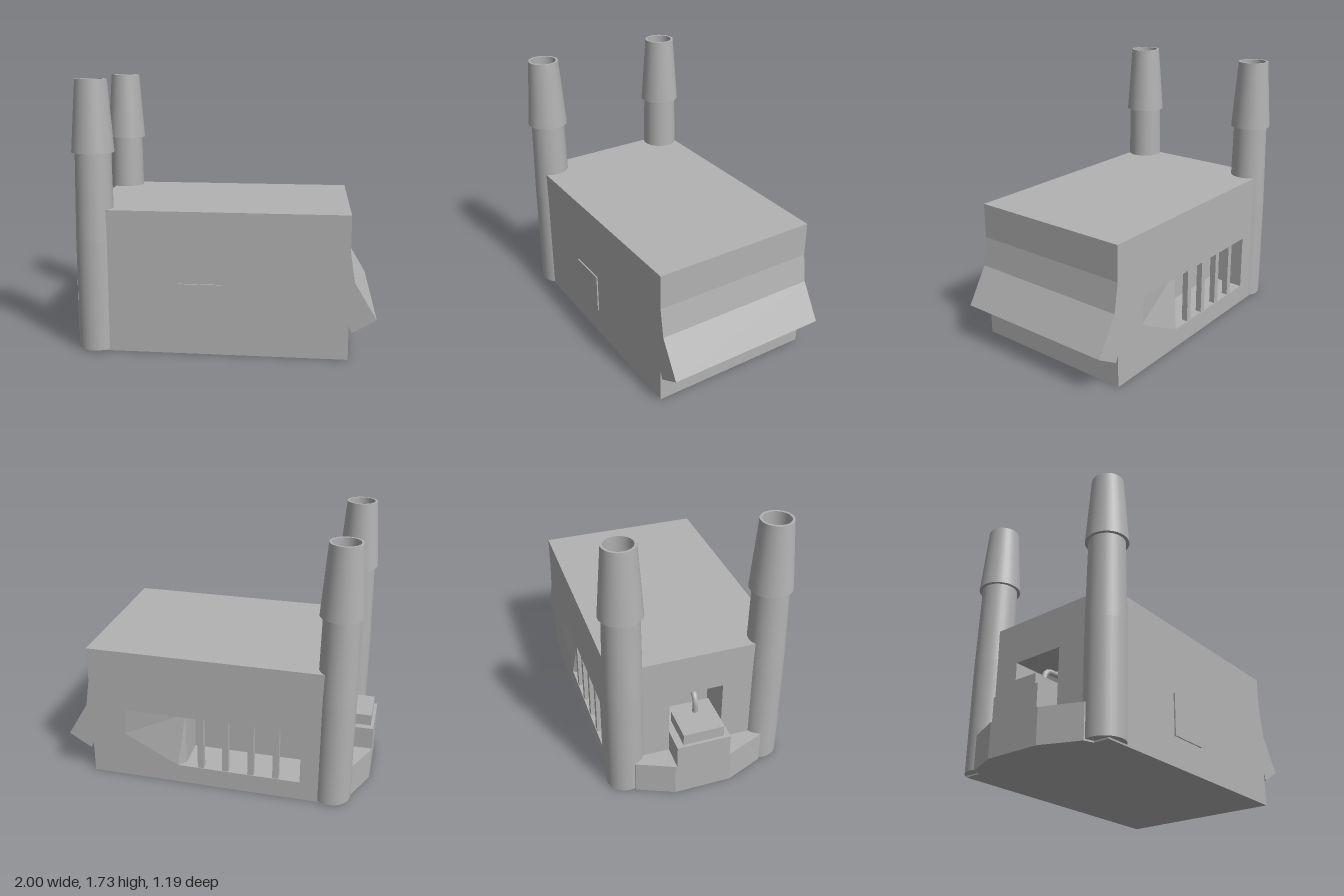
import * as THREE from 'three';

const grey = new THREE.MeshStandardMaterial({ color: 0xb2b2b2, side: THREE.DoubleSide });
grey.name = 'plain grey';

const BACK = -0.56, FRONT = 0.54, END = -0.84, TOP = 0.92;

// Faceted surface from convex polygons, each a list of [x, y, z] corners
function facets(polygons) {
  const pos = [];
  for (const p of polygons)
    for (let i = 1; i < p.length - 1; i++) pos.push(...p[0], ...p[i], ...p[i + 1]);
  const g = new THREE.BufferGeometry();
  g.setAttribute('position', new THREE.Float32BufferAttribute(pos, 3));
  g.computeVertexNormals();
  return g;
}

const outline = (pts) => new THREE.Shape(pts.map(([x, y]) => new THREE.Vector2(x, y)));

function flatPanel(pts, hole) {
  const s = outline(pts);
  if (hole) s.holes.push(outline(hole));
  return new THREE.ShapeGeometry(s);
}

export function createModel() {
  const model = new THREE.Group();
  const add = (name, geo, x = 0, y = 0, z = 0, parent = model) => {
    const m = new THREE.Mesh(geo, grey);
    m.name = name;
    m.position.set(x, y, z);
    parent.add(m);
    return m;
  };
  const box = (name, x0, x1, y0, y1, z0, z1) =>
    add(name, new THREE.BoxGeometry(x1 - x0, y1 - y0, z1 - z0),
      (x0 + x1) / 2, (y0 + y1) / 2, (z0 + z1) / 2);

  // Housing: side profile with the flared lip, closed by front and back panels
  const profile = [[END, 0], [0.83, 0], [0.83, 0.22], [0.85, 0.175], [1, 0.265],
    [0.86, 0.5], [0.83, 0.69], [0.83, TOP], [END, TOP]];
  const ventRim = [[0.58, 0.5], [-0.58, 0.5], [-0.58, 0.13], [0.235, 0.13], [0.6, 0.32]];
  add('housingFront', flatPanel(profile), 0, 0, FRONT);
  const back = flatPanel(profile, ventRim);
  back.scale(-1, 1, 1).rotateY(Math.PI);
  // Turn the panel to face backwards
  const idx = back.index.array;
  for (let i = 0; i < idx.length; i += 3) [idx[i], idx[i + 1]] = [idx[i + 1], idx[i]];
  back.computeVertexNormals();
  add('housingBack', back, 0, 0, BACK);
  const skin = [];
  for (let i = 0; i < profile.length - 1; i++) {
    const a = profile[i], b = profile[i + 1];
    skin.push([[...a, FRONT], [...a, BACK], [...b, BACK], [...b, FRONT]]);
  }
  add('housingSkin', facets(skin));

  // Vent recess: sloped ramp, then a deep chamber
  const [A, B, C, D, E] = ventRim.map((p) => [...p, BACK]);
  const F = [0.19, 0.5, -0.51], G = [0.19, 0.13, -0.51], deep = -0.3;
  const Fi = [0.19, 0.5, deep], Gi = [0.19, 0.13, deep];
  const Bi = [-0.58, 0.5, deep], Ci = [-0.58, 0.13, deep];
  add('ventRecess', facets([
    [A, E, F], [E, D, F], [D, G, F],
    [F, G, Gi, Fi], [Fi, Gi, Ci, Bi], [B, Bi, Ci, C],
    [A, F, Fi, Bi, B], [D, C, Ci, Gi, G],
  ].map((p) => p.reverse())));
  for (const x of [0.08, -0.085, -0.255, -0.42])
    box('ventBar', x - 0.02, x + 0.02, 0.13, 0.5, -0.555, -0.515);

  // Right end wall with a niche
  const niche = [[-0.19, 0.2], [0.16, 0.2], [0.16, 0.65], [-0.19, 0.65]];
  const wall = flatPanel([[BACK, 0], [FRONT, 0], [FRONT, TOP], [BACK, TOP]], niche);
  wall.rotateY(-Math.PI / 2);
  add('endWall', wall, END);
  const inner = -0.6;
  const nicheFaces = niche.map(([z, y], i) => {
    const [z2, y2] = niche[(i + 1) % 4];
    return [[END, y, z], [END, y2, z2], [inner, y2, z2], [inner, y, z]];
  });
  nicheFaces.push(niche.map(([z, y]) => [inner, y, z]));
  add('endNiche', facets(nicheFaces));

  // Chamfered apron, step block, lid and pipe on the right end
  const plan = outline([[END, 0.45], [-0.9, 0.43], [-1, 0.2], [-1, -0.17], [-0.9, -0.42], [END, -0.44]]);
  const apron = new THREE.ExtrudeGeometry(plan, { depth: 0.22, bevelEnabled: false });
  apron.rotateX(-Math.PI / 2);
  add('apron', apron);
  box('stepBlock', -1, -0.62, 0.2, 0.37, -0.19, 0.16);
  box('stepLid', -0.98, -0.75, 0.37, 0.445, -0.145, 0.12);
  const bend = new THREE.CatmullRomCurve3([[-0.79, 0.44], [-0.79, 0.52], [-0.765, 0.56], [-0.7, 0.57], [inner, 0.57]]
    .map(([x, y]) => new THREE.Vector3(x, y, 0)));
  add('pipe', new THREE.TubeGeometry(bend, 24, 0.018, 12));

  // Thin hatch on the front
  box('frontHatch', -0.235, 0.04, 0.19, 0.46, FRONT, FRONT + 0.009);

  // Chimneys: tapered shaft and open collar; each segment separate for crisp edges
  const shaft = [[0, 0.01], [0.123, 0.01], [0.123, 0.72], [0.113, 1.275]];
  const collar = [[0.113, 1.275], [0.134, 1.275], [0.1, 1.725], [0.085, 1.725], [0.1, 1.3], [0, 1.3]];
  for (const z of [-0.465, 0.46]) {
    const chimney = new THREE.Group();
    chimney.name = 'chimney';
    chimney.position.set(-0.777, 0, z);
    for (const [name, pts] of [['chimneyShaft', shaft], ['chimneyCollar', collar]])
      for (let i = 0; i < pts.length - 1; i++)
        add(name, new THREE.LatheGeometry([pts[i], pts[i + 1]]
          .map(([r, y]) => new THREE.Vector2(r, y)), 32), 0, 0, 0, chimney);
    model.add(chimney);
  }
  return model;
}
